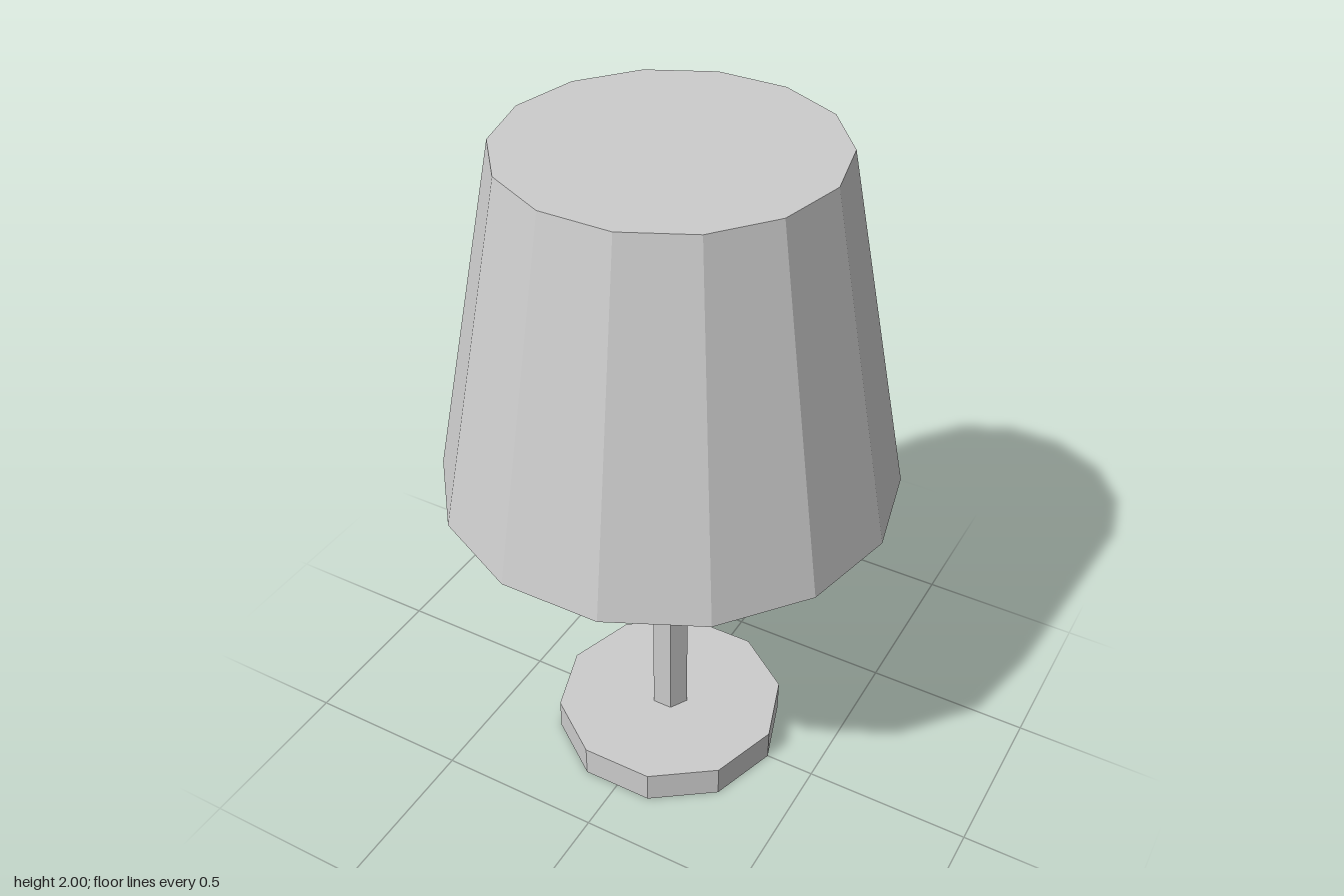
import * as THREE from 'three';

export function createModel() {
  const lamp = new THREE.Group();
  lamp.name = 'tableLamp';
  const grey = new THREE.MeshStandardMaterial({ color: 0xcccccc, flatShading: true });
  grey.name = 'lightGrey';

  // Faceted prism from y0 to y1, with a corner on the x axis
  const prism = (name, topRadius, bottomRadius, y0, y1, sides) => {
    const geometry = new THREE.CylinderGeometry(
      topRadius, bottomRadius, y1 - y0, sides, 1, false, Math.PI / 2);
    const mesh = new THREE.Mesh(geometry, grey);
    mesh.name = name;
    mesh.position.y = (y0 + y1) / 2;
    lamp.add(mesh);
  };

  prism('base', 0.35, 0.35, 0, 0.1, 10);
  prism('pole', 0.06, 0.06, 0.1, 1, 6);
  prism('shade', 0.45, 0.647, 1, 2, 14);

  return lamp;
}
